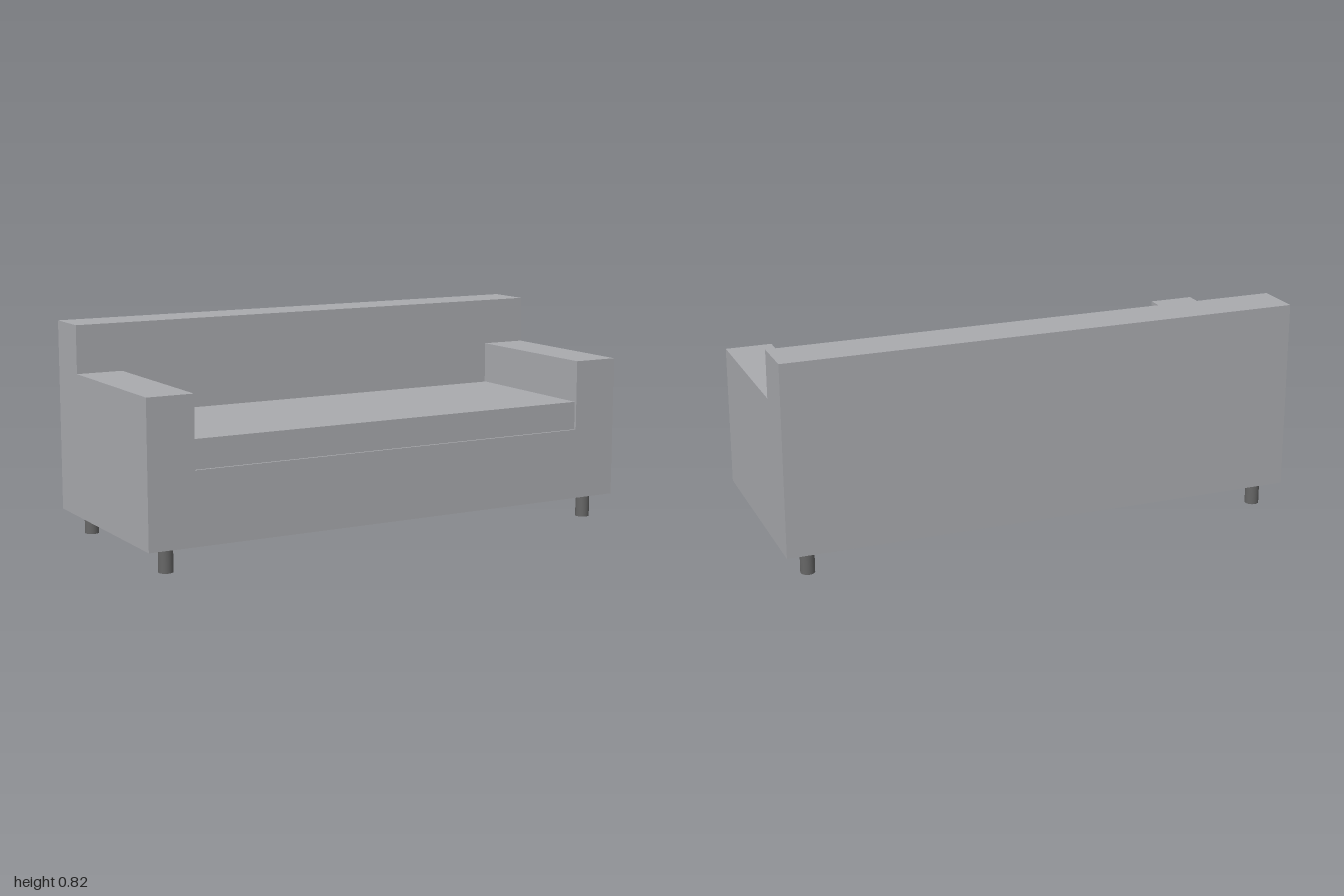
import * as THREE from 'three';

const fabric = new THREE.MeshStandardMaterial({ color: 0xa9aaae });
fabric.name = 'grey fabric';
const metal = new THREE.MeshStandardMaterial({ color: 0x666666 });
metal.name = 'dark leg';

export function createModel() {
  const sofa = new THREE.Group();
  sofa.name = 'sofa';

  const add = (name, geometry, material, x, y, z) => {
    const mesh = new THREE.Mesh(geometry, material);
    mesh.name = name;
    mesh.position.set(x, y, z);
    sofa.add(mesh);
  };
  // Box given by its lower and upper corners
  const addBox = (name, [x0, y0, z0], [x1, y1, z1]) =>
    add(name, new THREE.BoxGeometry(x1 - x0, y1 - y0, z1 - z0), fabric,
      (x0 + x1) / 2, (y0 + y1) / 2, (z0 + z1) / 2);

  const bottom = 0.092, seatTop = 0.366, armTop = 0.636, backTop = 0.818;
  const armInner = 0.82, depth = 0.409, backFront = -0.227;

  // Base and both arms: one U-shaped front profile
  const profile = new THREE.Shape([
    [-1, bottom], [1, bottom], [1, armTop], [armInner, armTop],
    [armInner, seatTop], [-armInner, seatTop], [-armInner, armTop], [-1, armTop],
  ].map(([x, y]) => new THREE.Vector2(x, y)));
  add('baseAndArms', new THREE.ExtrudeGeometry(profile, {
    depth: depth - backFront, bevelEnabled: false,
  }), fabric, 0, 0, backFront);

  // Full-width backrest
  addBox('backrest', [-1, bottom, -depth], [1, backTop, backFront]);

  // Seat cushion, set in slightly at the front and back
  addBox('seatCushion', [-armInner + 0.001, seatTop, -0.218], [armInner - 0.001, 0.475, 0.4]);

  // Four round legs
  const legGeometry = new THREE.CylinderGeometry(0.027, 0.027, bottom, 32);
  for (const x of [-0.909, 0.909]) {
    for (const z of [-0.345, 0.345]) {
      add(`${z > 0 ? 'front' : 'back'}${x > 0 ? 'Left' : 'Right'}Leg`,
        legGeometry, metal, x, bottom / 2, z);
    }
  }
  return sofa;
}
